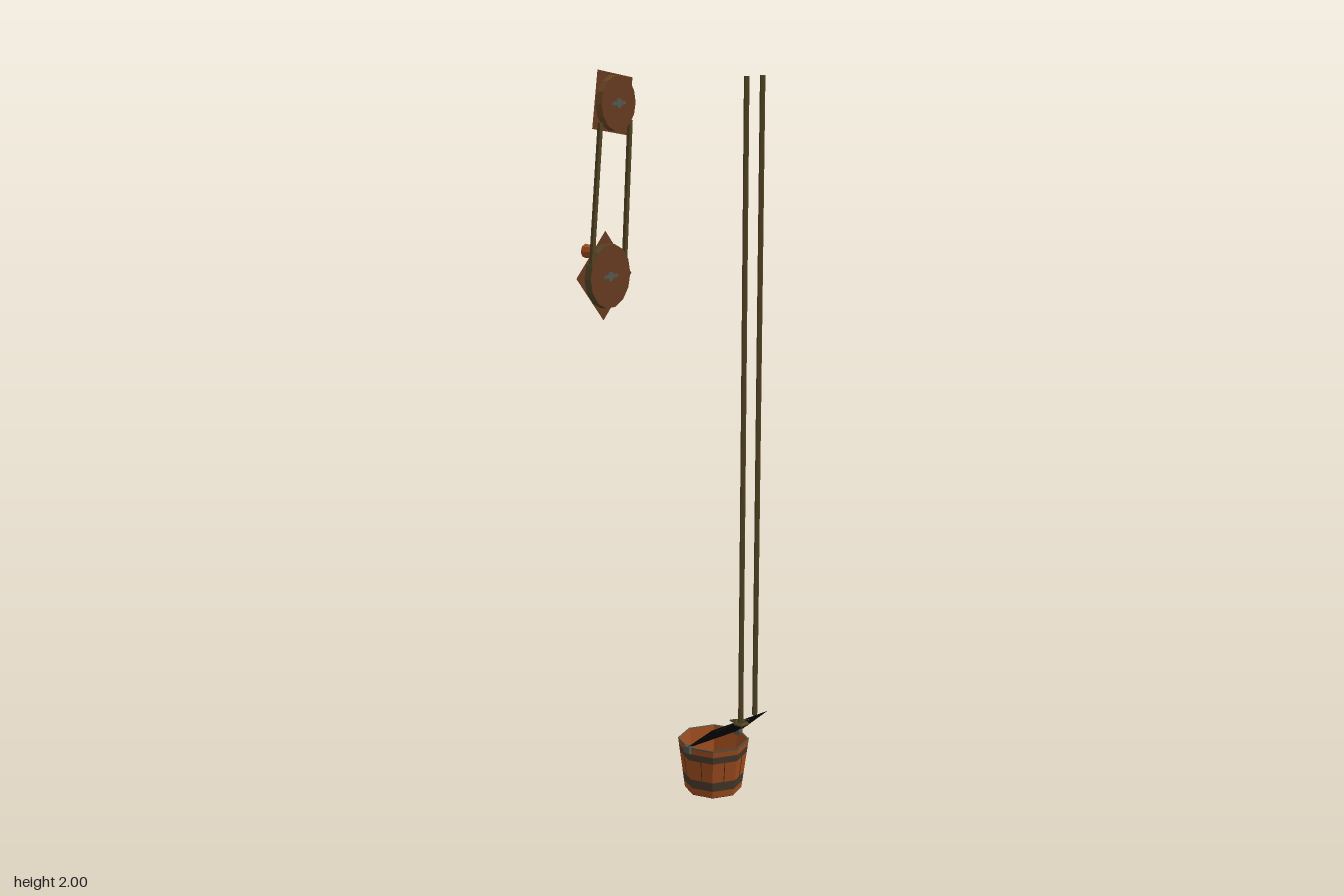
import * as THREE from 'three';

const mat = (name, color) => {
  const m = new THREE.MeshStandardMaterial({ color, side: THREE.DoubleSide, flatShading: true });
  m.name = name;
  return m;
};

export function createModel() {
  const wood = mat('orange wood', 0x9c4c1e);
  const plateWood = mat('brown wood', 0x643820);
  const seamWood = mat('dark wood seam', 0x3d2413);
  const hoopMetal = mat('dark hoop metal', 0x46382a);
  const metal = mat('grey metal', 0x52554c);
  const rope = mat('rope', 0x524424);
  const rimWood = mat('wheel rim', 0x6a4422);
  const black = mat('black', 0x050505);
  const root = new THREE.Group();
  root.name = 'wellPulleySet';

  const add = (parent, name, geometry, material, x = 0, y = 0, z = 0) => {
    const mesh = new THREE.Mesh(geometry, material);
    mesh.name = name;
    mesh.position.set(x, y, z);
    parent.add(mesh);
    return mesh;
  };
  // Straight bar between two points, optionally tapered
  const rod = (parent, name, a, b, radius, material, sides = 5, endRadius = radius) => {
    const from = new THREE.Vector3(...a), to = new THREE.Vector3(...b);
    const dir = to.clone().sub(from);
    const mesh = add(parent, name, new THREE.CylinderGeometry(endRadius, radius, dir.length(), sides), material);
    mesh.position.copy(from).addScaledVector(dir, 0.5);
    mesh.quaternion.setFromUnitVectors(new THREE.Vector3(0, 1, 0), dir.normalize());
  };

  // Bucket: an eight-sided tapered wall made of stacked bands
  const bucket = new THREE.Group();
  bucket.name = 'bucket';
  bucket.position.set(0.172, 0, 0);
  root.add(bucket);
  const turn = THREE.MathUtils.degToRad(78.5);
  const radiusAt = (y) => 0.08 + 0.02 * y / 0.15;
  const band = (name, y0, y1, material, inset0 = 0, inset1 = inset0) => add(bucket, name,
    new THREE.CylinderGeometry(radiusAt(y1) - inset1, radiusAt(y0) - inset0, y1 - y0, 8, 1, true, turn),
    material, 0, (y0 + y1) / 2, 0);
  band('lowerStaves', 0.003, 0.023, wood);
  band('lowerHoop', 0.023, 0.05, hoopMetal);
  band('middleStaves', 0.05, 0.11, wood);
  band('upperHoop', 0.11, 0.13, hoopMetal);
  band('upperStaves', 0.13, 0.146, wood);
  band('rim', 0.146, 0.151, metal);
  // Wooden lining with a metal edge at the lip and the floor
  band('lining', 0.006, 0.149, wood, 0.003);
  band('rimTop', 0.15, 0.151, metal, 0.004, 0);
  band('floorEdge', 0.006, 0.012, metal, 0.005, 0.004);
  add(bucket, 'bucketBottom', new THREE.CylinderGeometry(0.08, 0.08, 0.004, 8, 1, false, turn), black, 0, 0.004, 0);
  for (let i = 0; i < 8; i++) {
    const a = THREE.MathUtils.degToRad(34 + i * 45);
    const at = (y) => [Math.cos(a) * radiusAt(y) * 0.924, y, Math.sin(a) * radiusAt(y) * 0.924];
    rod(bucket, 'staveSeam', at(0.05), at(0.11), 0.0013, seamWood, 4);
  }
  for (const s of [1, -1]) {
    const ear = add(bucket, 'handleEar', new THREE.BoxGeometry(0.022, 0.02, 0.014), metal, s * -0.02, 0.144, s * 0.095);
    ear.rotation.y = -0.2;
  }

  // Tilted bail plate above the bucket, with the thin bail arc on it
  const bail = new THREE.BufferGeometry();
  bail.setAttribute('position', new THREE.Float32BufferAttribute([
    0.145, 0.145, 0.102, 0.25, 0.232, 0.123, 0.295, 0.232, -0.09, 0.195, 0.145, -0.11], 3));
  bail.setIndex([0, 1, 2, 0, 2, 3]);
  bail.computeVertexNormals();
  add(root, 'bailPlate', bail, black);
  const arc = [];
  for (let i = 0; i <= 8; i++) {
    const c = Math.cos(i * Math.PI / 8), s = Math.sin(i * Math.PI / 8);
    arc.push(new THREE.Vector3(0.17 - 0.021 * c + 0.1 * s, 0.146 + 0.084 * s, -0.004 + 0.088 * c + 0.018 * s));
  }
  add(root, 'bailArc', new THREE.TubeGeometry(new THREE.CatmullRomCurve3(arc), 24, 0.0012, 4), metal);

  // Rope loop with its tail and the two long hanging ropes
  const loop = add(root, 'ropeLoop', new THREE.TorusGeometry(0.018, 0.006, 4, 5), rope, 0.279, 0.228, 0.021);
  loop.rotation.set(-Math.PI / 2, 0, 0.3);
  rod(root, 'ropeTail', [0.24, 0.226, 0.018], [0.27, 0.228, 0.016], 0.002, rope, 5, 0.01);
  rod(root, 'hangingRope', [0.277, 0.225, 0.02], [0.275, 1.99, 0.02], 0.0075, rope);
  rod(root, 'returnRope', [0.277, 0.228, -0.051], [0.275, 1.99, -0.055], 0.0075, rope);

  // Pulleys: square backing plate, round wheel and metal hub
  const pulley = (name, x, y, z, radius, side, angle, width, rim) => {
    const g = new THREE.Group();
    g.name = name;
    g.position.set(x, y, z);
    root.add(g);
    const plate = add(g, 'backingPlate', new THREE.PlaneGeometry(side, side), plateWood);
    plate.rotation.set(angle, Math.PI / 2, 0);
    const wheel = add(g, 'wheel', new THREE.CylinderGeometry(radius, radius, width, 14),
      [rim, plateWood, plateWood], width / 2 + 0.0005, 0, 0);
    wheel.rotation.z = -Math.PI / 2;
    const hub = add(g, 'hub', new THREE.CylinderGeometry(0.014, 0.014, 0.002, 8), metal, width + 0.001, 0, 0);
    hub.rotation.z = Math.PI / 2;
    add(g, 'hubBar', new THREE.BoxGeometry(0.002, 0.01, 0.06), metal, width + 0.001, 0, 0);
  };
  pulley('upperPulley', -0.174, 1.909, -0.001, 0.076, 0.158, -0.16, 0.021, rimWood);
  pulley('lowerPulley', -0.205, 1.434, 0.001, 0.09, 0.177, 0.74, 0.022, rope);

  // Ropes joining the two pulleys
  for (const s of [1, -1]) {
    rod(root, 'beltRope', [-0.164, 1.86, s * 0.066], [-0.193, 1.45, s * 0.075], 0.008, rope);
  }

  // Crank grip, wider at its outer end
  const grip = add(root, 'crankGrip', new THREE.CylinderGeometry(0.02, 0.013, 0.1, 8), wood, -0.255, 1.492, -0.04);
  grip.rotation.z = Math.PI / 2;

  return root;
}
